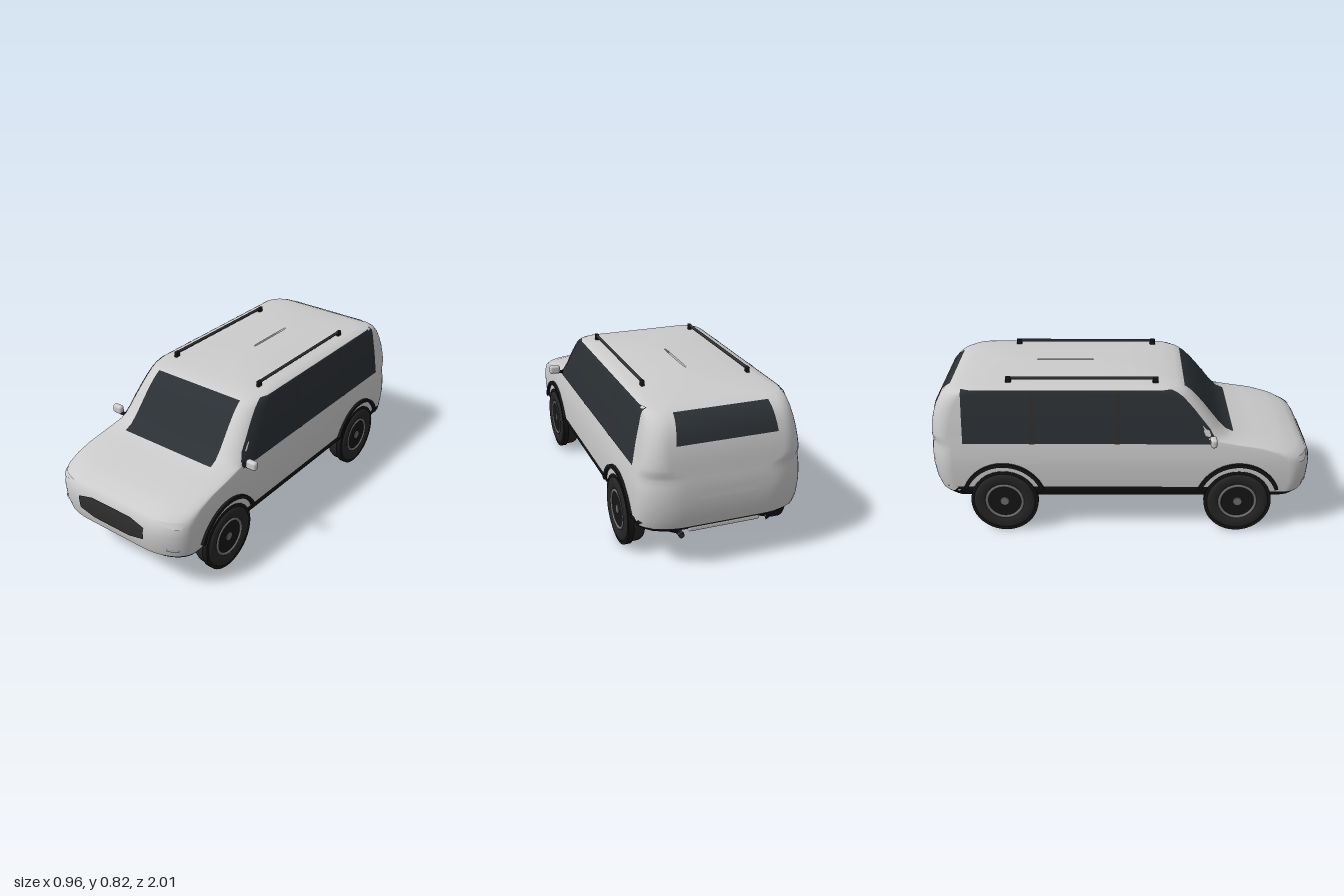
import * as THREE from 'three';
import { RoundedBoxGeometry } from 'three/addons/geometries/RoundedBoxGeometry.js';

const mat = (color, rough = 0.7) =>
  new THREE.MeshStandardMaterial({ color, roughness: rough, side: THREE.DoubleSide });
const PAINT = mat(0xcccccc), GLASS = mat(0x2b3034), BLACK = mat(0x161616), TRIM = mat(0x2e2e2e);
const RUBBER = mat(0x262626), ALLOY = mat(0x707070), LAMP = mat(0xd8d8d8);

// Horizontal slices of the body: height, half width, front z, back z, corner radius in x and z
const SLICES = [
  [0.16, 0.33, 0.86, -0.88, 0.12, 0.10],
  [0.19, 0.385, 0.95, -0.94, 0.18, 0.12],
  [0.22, 0.408, 0.984, -0.975, 0.22, 0.13],
  [0.27, 0.413, 0.997, -0.992, 0.22, 0.13],
  [0.34, 0.415, 1.0, -1.0, 0.21, 0.13],
  [0.39, 0.414, 0.99, -0.999, 0.20, 0.13],
  [0.42, 0.412, 0.97, -0.998, 0.20, 0.13],
  [0.445, 0.409, 0.925, -0.996, 0.20, 0.13],
  [0.47, 0.406, 0.84, -0.993, 0.20, 0.13],
  [0.49, 0.403, 0.70, -0.99, 0.18, 0.12],
  [0.508, 0.40, 0.59, -0.988, 0.14, 0.11],
  [0.53, 0.396, 0.54, -0.985, 0.12, 0.10],
  [0.57, 0.39, 0.50, -0.98, 0.11, 0.10],
  [0.62, 0.382, 0.46, -0.97, 0.10, 0.10],
  [0.67, 0.372, 0.42, -0.955, 0.095, 0.10],
  [0.71, 0.364, 0.385, -0.935, 0.09, 0.10],
  [0.74, 0.358, 0.355, -0.91, 0.09, 0.10],
  [0.76, 0.354, 0.328, -0.88, 0.09, 0.10],
  [0.775, 0.346, 0.29, -0.845, 0.10, 0.10],
  [0.784, 0.30, 0.22, -0.79, 0.12, 0.12],
  [0.792, 0.20, 0.11, -0.70, 0.12, 0.14],
  [0.798, 0.09, 0, -0.58, 0.08, 0.14],
  [0.80, 0.005, -0.15, -0.45, 0.004, 0.05],
];

// Slice at any height, blended between its neighbours
function sliceAt(y) {
  let i = 0;
  while (i < SLICES.length - 2 && SLICES[i + 1][0] < y) i++;
  const a = SLICES[i], b = SLICES[i + 1], t = (y - a[0]) / (b[0] - a[0]);
  return a.map((v, k) => v + (b[k] - v) * t);
}
const arc = (t) => Math.sqrt(Math.max(0, 1 - t * t));
function sideX(y, z) {
  const [, w, f, b, rx, rz] = sliceAt(y);
  const t = Math.max(0, (z - (f - rz)) / rz, (b + rz - z) / rz);
  return w - rx + rx * arc(t);
}
// dir 1 gives the front surface, -1 the rear
function endZ(y, x, dir) {
  const [, w, f, b, rx, rz] = sliceAt(y);
  const t = Math.max(0, (Math.abs(x) - (w - rx)) / rx);
  return (dir > 0 ? f : b) - dir * rz * (1 - arc(t));
}

function meshGrid(rows, closed) {
  const n = rows[0].length, index = [];
  for (let i = 0; i < rows.length - 1; i++)
    for (let j = 0; j < (closed ? n : n - 1); j++) {
      const a = i * n + j, b = i * n + (j + 1) % n;
      index.push(a, b, b + n, a, b + n, a + n);
    }
  const g = new THREE.BufferGeometry();
  g.setAttribute('position', new THREE.Float32BufferAttribute(rows.flat(2), 3));
  g.setIndex(index);
  g.computeVertexNormals();
  return g;
}

// Closed rounded outline of one slice, starting at the front centre
function ring([y, w, f, b, rx, rz]) {
  const half = [];
  for (let i = 0; i < 4; i++) half.push([(w - rx) * i / 4, y, f]);
  for (let i = 0; i <= 10; i++) {
    const a = i / 10 * Math.PI / 2;
    half.push([w - rx + rx * Math.sin(a), y, f - rz + rz * Math.cos(a)]);
  }
  for (let i = 1; i < 12; i++) half.push([w, y, f - rz + (b - f + 2 * rz) * i / 12]);
  for (let i = 0; i <= 10; i++) {
    const a = i / 10 * Math.PI / 2;
    half.push([w - rx + rx * Math.cos(a), y, b + rz - rz * Math.sin(a)]);
  }
  for (let i = 3; i >= 0; i--) half.push([(w - rx) * i / 4, y, b]);
  return [...half, ...half.slice(1, -1).reverse().map(([x, h, z]) => [-x, h, z])];
}

// Heights of a patch: its limits and every slice between
const heights = (y0, y1) => [y0, ...SLICES.map((s) => s[0]).filter((y) => y > y0 + 1e-4 && y < y1 - 1e-4), y1];

// Panel lying on the front or rear; edges(y) gives its x range
function endPatch(ys, edges, dir, lift = 0.005) {
  return meshGrid(ys.map((y) => {
    const [x0, x1] = edges(y);
    return Array.from({ length: 17 }, (_, i) => {
      const x = dir > 0 ? x0 + (x1 - x0) * i / 16 : x1 + (x0 - x1) * i / 16;
      return [x, y, endZ(y, x, dir) + dir * lift];
    });
  }));
}
// Panel lying on a flank; edges(y) gives its z range, rear first
function sidePatch(ys, edges, s, lift) {
  return meshGrid(ys.map((y) => {
    const [z0, z1] = edges(y);
    return Array.from({ length: 25 }, (_, i) => {
      const z = s > 0 ? z1 + (z0 - z1) * i / 24 : z0 + (z1 - z0) * i / 24;
      return [s * (sideX(y, z) + lift), y, z];
    });
  }));
}

function add(parent, name, geometry, material, x = 0, y = 0, z = 0) {
  const m = new THREE.Mesh(geometry, material);
  m.name = name;
  m.position.set(x, y, z);
  parent.add(m);
  return m;
}

// Wheel with its outer face towards +x
function makeWheel(name) {
  const wheel = new THREE.Group();
  wheel.name = name;
  const profile = [[0.1, -0.044], [0.115, -0.052], [0.143, -0.053], [0.158, -0.047], [0.166, -0.032],
    [0.167, 0], [0.166, 0.032], [0.158, 0.047], [0.143, 0.053], [0.115, 0.052], [0.1, 0.044]];
  add(wheel, 'tyre', new THREE.LatheGeometry(profile.map((p) => new THREE.Vector2(...p)), 40), RUBBER).rotation.z = -Math.PI / 2;
  add(wheel, 'rimDisc', new THREE.CylinderGeometry(0.102, 0.102, 0.07, 32), TRIM).rotation.z = -Math.PI / 2;
  add(wheel, 'rimEdge', new THREE.TorusGeometry(0.094, 0.008, 8, 40), ALLOY, 0.043).rotation.y = Math.PI / 2;
  add(wheel, 'hub', new THREE.CylinderGeometry(0.022, 0.028, 0.014, 20), ALLOY, 0.04).rotation.z = -Math.PI / 2;
  for (let i = 0; i < 5; i++) {
    const a = i / 5 * Math.PI * 2;
    add(wheel, 'spoke', new THREE.BoxGeometry(0.012, 0.075, 0.024), ALLOY,
      0.037, 0.056 * Math.cos(a), 0.056 * Math.sin(a)).rotation.x = a;
  }
  return wheel;
}

export function createModel() {
  const car = new THREE.Group();
  car.name = 'car';

  // Body shell, dark lower edge and flat underside
  add(car, 'bodyShell', meshGrid(SLICES.slice(2).map(ring), true), PAINT);
  add(car, 'lowerBody', meshGrid(SLICES.slice(0, 3).map(ring), true), BLACK);
  add(car, 'underside', meshGrid([ring([0.16, 0.01, 0.01, -0.01, 0.004, 0.004]), ring(SLICES[0])], true), BLACK);

  // Front and rear glass
  add(car, 'windshield', endPatch(heights(0.512, 0.763), (y) => {
    const w = 0.285 - (y - 0.512) * 0.07;
    return [-w, w];
  }, 1), GLASS);
  add(car, 'rearWindow', endPatch(heights(0.635, 0.762), (y) => {
    const w = 0.252 - (y - 0.635) * 0.13;
    return [-w, w];
  }, -1), GLASS);

  // Grille, rear plate recess and exhaust
  add(car, 'grille', endPatch([0.273, 0.295, 0.34, 0.362, 0.384], (y) => {
    const w = y < 0.295 ? 0.115 + (y - 0.273) * 4.1 : y > 0.362 ? 0.215 - (y - 0.362) * 4.1 : 0.21 + (y - 0.295) * 0.08;
    return [-w, w];
  }, 1), TRIM);
  add(car, 'platePanel', endPatch([0.37, 0.39, 0.42], () => [-0.14, 0.14], -1, 0.004), PAINT);
  add(car, 'rearBumperStrip', new RoundedBoxGeometry(0.36, 0.025, 0.05, 2, 0.008), PAINT, 0, 0.195, -0.935);
  add(car, 'exhaust', new THREE.CylinderGeometry(0.014, 0.014, 0.09, 16), TRIM, 0.22, 0.178, -0.925).rotation.x = Math.PI / 2;

  for (const s of [1, -1]) {
    const side = s > 0 ? 'left' : 'right';

    // Side glass with two pillars, and the sill
    add(car, side + 'SideWindow', sidePatch(heights(0.497, 0.772),
      (y) => [-0.81, Math.min(0.478, sliceAt(y)[2] - 0.045)], s, 0.004), GLASS);
    for (const z of [-0.02, -0.455])
      add(car, side + 'Pillar', sidePatch(heights(0.497, 0.772), () => [z - 0.014, z + 0.014], s, 0.006), TRIM);
    add(car, side + 'Sill', sidePatch(heights(0.18, 0.252), (y) => [-0.9 - (0.252 - y), 0.5], s, 0.003), BLACK);

    // Headlight and fog light
    const span = (a, b) => (s > 0 ? [a, b] : [-b, -a]);
    add(car, side + 'Headlight', endPatch([0.387, 0.4, 0.417], (y) => span(0.39 - (y - 0.38) * 3.2, 0.392), 1, 0.006), LAMP);
    add(car, side + 'FogLight', endPatch([0.258, 0.266, 0.274], () => span(0.33, 0.38), 1, 0.005), LAMP);

    // Door mirror
    add(car, side + 'MirrorHousing', new RoundedBoxGeometry(0.06, 0.048, 0.034, 4, 0.014), PAINT, s * 0.449, 0.531, 0.468);
    add(car, side + 'MirrorStalk', new RoundedBoxGeometry(0.06, 0.014, 0.022, 2, 0.005), BLACK, s * 0.408, 0.513, 0.468);

    // Roof rail on two feet
    add(car, side + 'RoofRail', new THREE.CapsuleGeometry(0.008, 0.76, 4, 12), TRIM, s * 0.273, 0.806, -0.2).rotation.x = Math.PI / 2;
    for (const z of [0.175, -0.575])
      add(car, side + 'RailFoot', new RoundedBoxGeometry(0.018, 0.034, 0.03, 2, 0.005), BLACK, s * 0.273, 0.797, z);

    // Wheels, wheel wells and arch trims
    for (const z of [0.61, -0.61]) {
      const end = z > 0 ? 'Front' : 'Rear';
      const wheel = makeWheel(side + end + 'Wheel');
      wheel.position.set(s * 0.374, 0.167, z);
      wheel.rotation.y = s > 0 ? 0 : Math.PI;
      car.add(wheel);
      add(car, side + end + 'WheelWell', new THREE.CylinderGeometry(0.176, 0.176, 0.03, 40), BLACK,
        s * 0.4025, 0.167, z).rotation.z = Math.PI / 2;
      const arch = new THREE.Shape();
      arch.absarc(0, 0, 0.222, 0.35, Math.PI - 0.35, false);
      arch.absarc(0, 0, 0.203, Math.PI - 0.35, 0.35, true);
      const trim = new THREE.ExtrudeGeometry(arch, { depth: 0.03, bevelEnabled: false, curveSegments: 28 });
      add(car, side + end + 'ArchTrim', trim, BLACK, s > 0 ? 0.398 : -0.428, 0.168, z).rotation.y = Math.PI / 2;
    }
  }
  return car;
}
